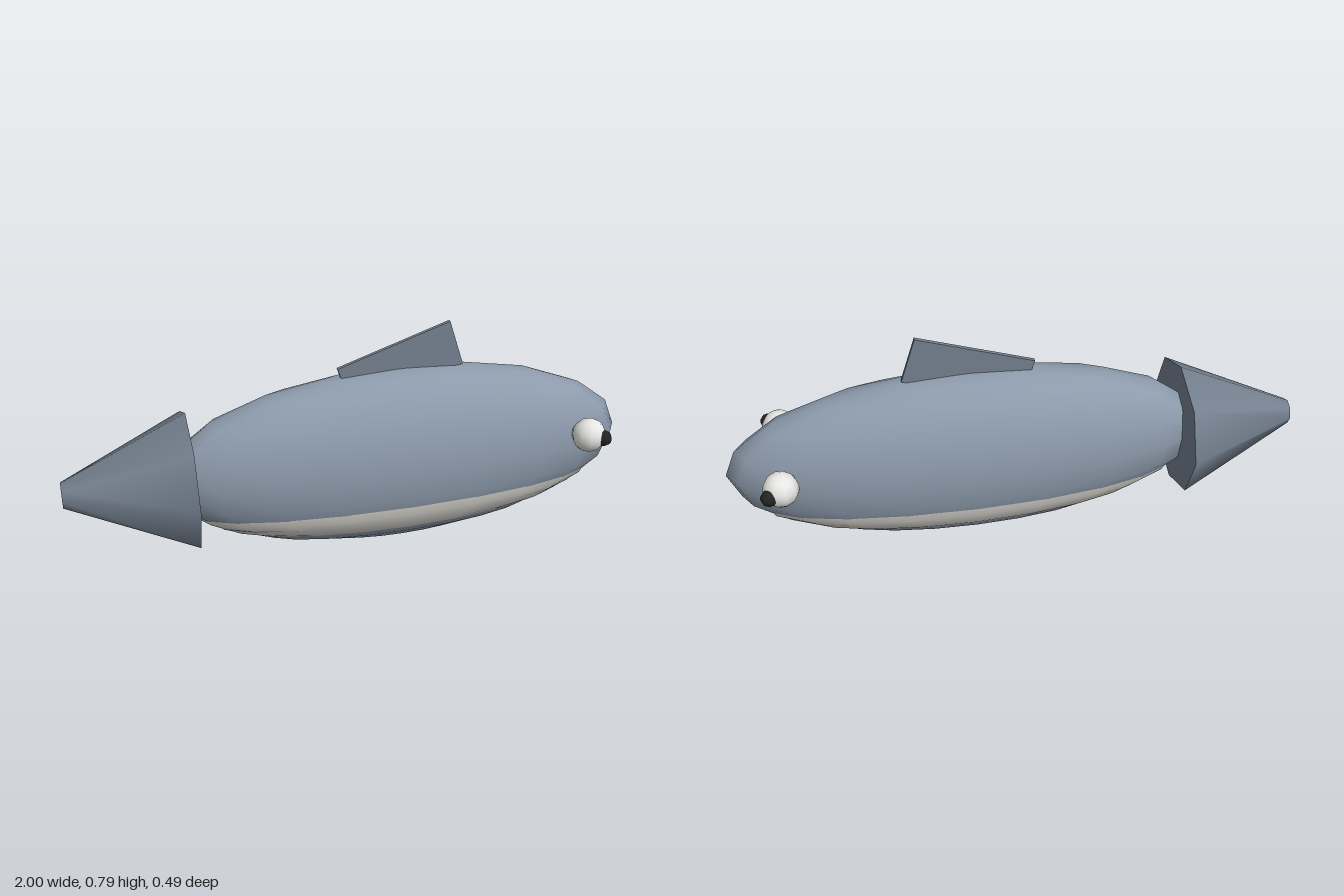
import * as THREE from 'three';

const makeMaterial = (name, color) => {
  const m = new THREE.MeshStandardMaterial({ color });
  m.name = name;
  return m;
};

export function createModel() {
  const skin = makeMaterial('blue grey skin', 0x8c9aab);
  const finSkin = makeMaterial('dark grey fin', 0x74808f);
  const bellySkin = makeMaterial('pale belly', 0xd3d0c9);
  const eyeWhite = makeMaterial('eye white', 0xe6e6e4);
  const pupilBlack = makeMaterial('pupil black', 0x222324);

  const fish = new THREE.Group();
  fish.name = 'fish';

  const add = (name, geometry, material, x, y, z) => {
    const mesh = new THREE.Mesh(geometry, material);
    mesh.name = name;
    mesh.position.set(x, y, z);
    fish.add(mesh);
    return mesh;
  };
  const ellipsoid = (rx, ry, rz) => new THREE.SphereGeometry(1, 20, 10).scale(rx, ry, rz);

  // Long body, with the belly ellipsoid just breaking through its lower sides
  add('body', ellipsoid(0.835, 0.319, 0.2), skin, 0.16, 0.32, 0);
  add('belly', ellipsoid(0.76, 0.2, 0.185), bellySkin, 0.16, 0.222, 0);

  // Tail cone, widest where it meets the body
  const tail = new THREE.CylinderGeometry(0.045, 0.243, 0.42, 8).rotateZ(Math.PI / 2);
  add('tail', tail, finSkin, -0.79, 0.322, 0);

  // Tilted dorsal fin, its lower rear corner sunk in the back
  const fin = add('dorsalFin', new THREE.BoxGeometry(0.416, 0.167, 0.014), finSkin, 0.159, 0.646, 0);
  fin.rotation.z = 0.317;

  // Bulging eyes with pupils turned forward and outward
  for (const [side, s] of [['left', -1], ['right', 1]]) {
    add(side + 'Eye', new THREE.SphereGeometry(0.06, 10, 10), eyeWhite, 0.807, 0.375, s * 0.17);
    add(side + 'Pupil', new THREE.SphereGeometry(0.028, 8, 8), pupilBlack, 0.845, 0.375, s * 0.208);
  }
  return fish;
}
